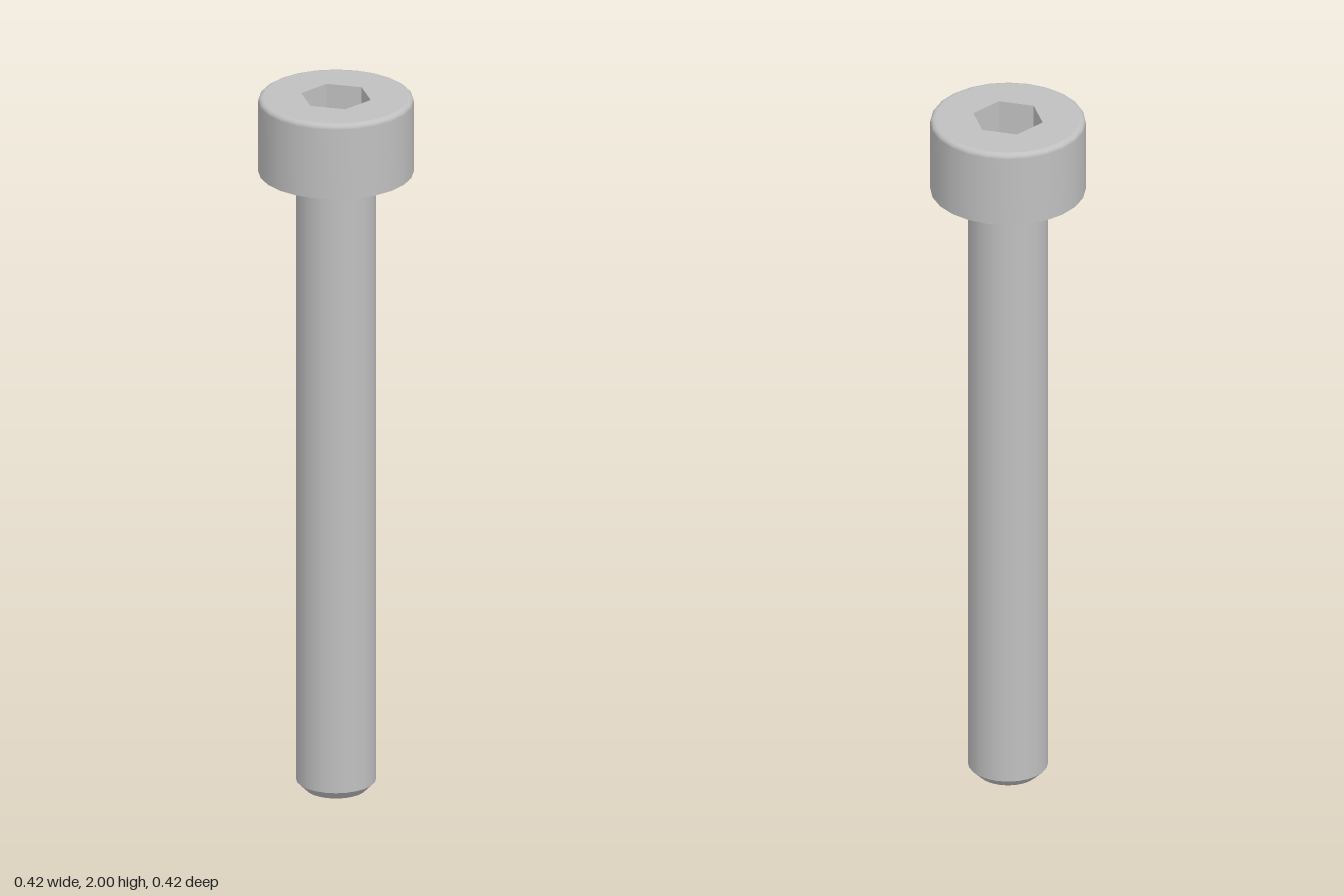
import * as THREE from 'three';

const SEGMENTS = 24;
const TOP = 2, HEAD_BASE = 1.785, HEAD_R = 0.21, FILLET = 0.014;
const SHAFT_R = 0.108, TIP_R = 0.083, CHAMFER = 0.025;
const HEX_R = 0.097, APEX_Y = 1.837, SLOPE = Math.tan(Math.PI / 6);

const steel = new THREE.MeshStandardMaterial({ color: 0xc0c0c0 });
steel.name = 'steel';

// corner of the hexagonal socket, with points on the z axis
function hexCorner(i) {
  const a = Math.PI / 2 + (i * Math.PI) / 3;
  return new THREE.Vector2(HEX_R * Math.cos(a), HEX_R * Math.sin(a));
}

// points run from the bottom up (outward-facing surface)
function lathe(points) {
  return new THREE.LatheGeometry(points.map(([r, y]) => new THREE.Vector2(r, y)), SEGMENTS);
}

// socket: upright hexagon walls, cut at the bottom by a conical floor
function socketGeometry(part) {
  const steps = 6, pos = [], nor = [];
  const add = (p, n) => { pos.push(...p); nor.push(...n); };
  const coneNormal = (x, z) => {
    const r = Math.hypot(x, z);
    return new THREE.Vector3((-x / r) * SLOPE, 1, (-z / r) * SLOPE).normalize().toArray();
  };
  for (let i = 0; i < 6; i++) {
    const a = hexCorner(i), b = hexCorner(i + 1);
    const mid = a.clone().add(b).normalize();
    const inward = [-mid.x, 0, -mid.y];
    for (let s = 0; s < steps; s++) {
      const p = a.clone().lerp(b, s / steps), q = a.clone().lerp(b, (s + 1) / steps);
      const pLow = [p.x, APEX_Y + p.length() * SLOPE, p.y];
      const qLow = [q.x, APEX_Y + q.length() * SLOPE, q.y];
      const pTop = [p.x, TOP, p.y], qTop = [q.x, TOP, q.y];
      if (part === 'walls') {
        for (const v of [pLow, qLow, qTop, pLow, qTop, pTop]) add(v, inward);
      } else {
        add([0, APEX_Y, 0], coneNormal(p.x + q.x, p.y + q.y));
        add(qLow, coneNormal(q.x, q.y));
        add(pLow, coneNormal(p.x, p.y));
      }
    }
  }
  const g = new THREE.BufferGeometry();
  g.setAttribute('position', new THREE.Float32BufferAttribute(pos, 3));
  g.setAttribute('normal', new THREE.Float32BufferAttribute(nor, 3));
  return g;
}

export function createModel() {
  const model = new THREE.Group();
  model.name = 'socketHeadScrew';
  const add = (name, geometry) => {
    const mesh = new THREE.Mesh(geometry, steel);
    mesh.name = name;
    model.add(mesh);
    return mesh;
  };

  // head side with a rounded top edge
  const headProfile = [[HEAD_R, HEAD_BASE]];
  for (let i = 0; i <= 4; i++) {
    const a = (i / 4) * Math.PI / 2;
    headProfile.push([HEAD_R - FILLET + FILLET * Math.cos(a), TOP - FILLET + FILLET * Math.sin(a)]);
  }
  add('headSide', lathe(headProfile));
  add('headUnderside', lathe([[SHAFT_R, HEAD_BASE], [HEAD_R, HEAD_BASE]]));

  // flat head top with the hexagonal opening
  const rim = [];
  for (let i = 0; i < SEGMENTS; i++) {
    const a = (i / SEGMENTS) * Math.PI * 2;
    rim.push(new THREE.Vector2(Math.cos(a), Math.sin(a)).multiplyScalar(HEAD_R - FILLET));
  }
  const topShape = new THREE.Shape(rim);
  topShape.holes.push(new THREE.Path([0, 1, 2, 3, 4, 5].map(hexCorner)));
  const top = add('headTop', new THREE.ShapeGeometry(topShape));
  top.rotation.x = -Math.PI / 2;
  top.position.y = TOP;

  // drive socket
  add('socketWalls', socketGeometry('walls'));
  add('socketFloor', socketGeometry('floor'));

  // shaft with chamfered tip
  add('shaft', lathe([[SHAFT_R, CHAMFER], [SHAFT_R, HEAD_BASE]]));
  add('tipChamfer', lathe([[TIP_R, 0], [SHAFT_R, CHAMFER]]));
  add('tipEnd', lathe([[0, 0], [TIP_R, 0]]));

  return model;
}
